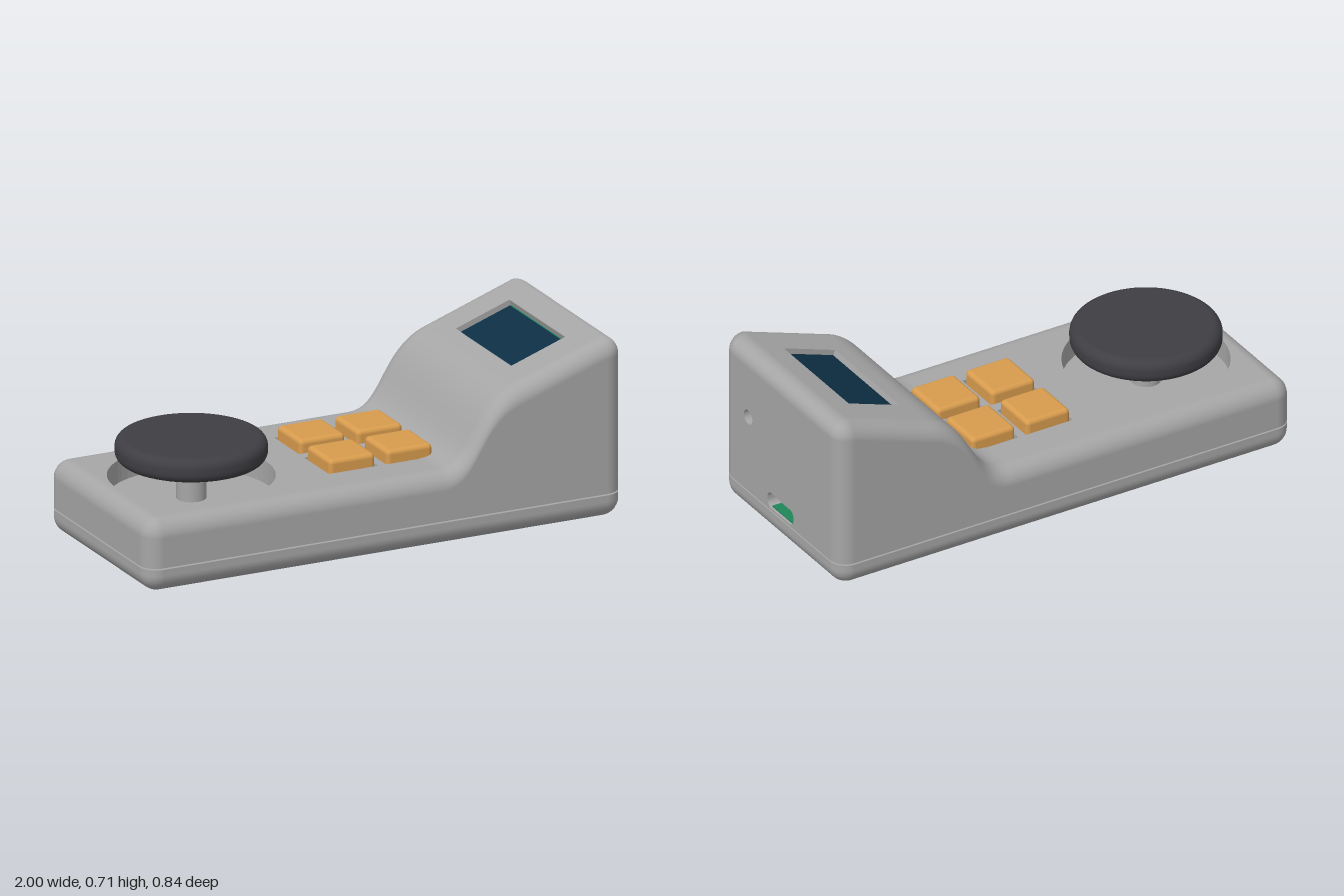
import * as THREE from 'three';
import { RoundedBoxGeometry } from 'three/addons/geometries/RoundedBoxGeometry.js';

const R = 0.07, HX = 0.93, HZ = 0.35; // edge radius and half size inside the rounding
const V = (x, y, z) => new THREE.Vector3(x, y, z);

function material(name, color, side = THREE.FrontSide) {
  const m = new THREE.MeshStandardMaterial({ color, side });
  m.name = name;
  return m;
}

// Rounded wall: an arc rolls off the profile, then drops straight to the bottom
function wallGeometry(profile, bottom, openEnd) {
  const around = [], corner = 6, arc = 8;
  const slope = profile.map((p, i) => {
    const a = profile[Math.max(i - 1, 0)], b = profile[Math.min(i + 1, profile.length - 1)];
    return (b.y - a.y) / (b.x - a.x);
  });
  const add = (i, z, angle) => around.push({
    x: profile[i].x, y: profile[i].y, z, s: slope[i], nx: Math.sin(angle), nz: Math.cos(angle), angle });
  const last = profile.length - 1;
  const fan = (i, z, from) => {
    for (let k = 0; k <= corner; k++) add(i, z, from + (k / corner) * Math.PI / 2);
  };
  for (let i = 1; i < last; i++) add(i, HZ, 0);
  fan(last, HZ, 0);
  fan(last, -HZ, Math.PI / 2);
  for (let i = last - 1; i > 0; i--) add(i, -HZ, Math.PI);
  fan(0, -HZ, Math.PI);
  fan(0, HZ, Math.PI * 1.5);

  const pos = [], nor = [], index = [], rows = arc + 2;
  for (const p of around) {
    for (let j = 0; j < rows; j++) {
      const a = Math.min(j / arc, 1) * Math.PI / 2, s = Math.sin(a), c = Math.cos(a);
      pos.push(p.x + p.nx * R * s, j > arc ? bottom : p.y - R * (1 - c), p.z + p.nz * R * s);
      nor.push(...V(p.nx * s - p.s * c, c, p.nz * s).normalize().toArray());
    }
  }
  around.forEach((p, i) => {
    const k = (i + 1) % around.length, q = around[k];
    for (let j = 0; j < rows - 1; j++) {
      if (openEnd && j === arc && p.nx > 0.999 && q.nx > 0.999) continue;
      const a = i * rows + j, d = k * rows + j;
      index.push(a, a + 1, d + 1, a, d + 1, d);
    }
  });
  const g = new THREE.BufferGeometry();
  g.setAttribute('position', new THREE.Float32BufferAttribute(pos, 3));
  g.setAttribute('normal', new THREE.Float32BufferAttribute(nor, 3));
  g.setIndex(index);
  return g;
}

// Smooth strip across the body under a run of profile points
function stripGeometry(points) {
  const g = new THREE.PlaneGeometry(1, 1, points.length - 1, 1);
  const p = g.attributes.position;
  for (let i = 0; i < p.count; i++) {
    const q = points[i % points.length];
    p.setXYZ(i, q.x, q.y, i < points.length ? -HZ : HZ);
  }
  g.computeVertexNormals();
  return g;
}

function rect(path, x0, y0, x1, y1, r = 0) {
  path.moveTo(x0 + r, y0).lineTo(x1 - r, y0);
  if (r) path.absarc(x1 - r, y0 + r, r, -Math.PI / 2, 0);
  path.lineTo(x1, y1 - r);
  if (r) path.absarc(x1 - r, y1 - r, r, 0, Math.PI / 2);
  path.lineTo(x0 + r, y1);
  if (r) path.absarc(x0 + r, y1 - r, r, Math.PI / 2, Math.PI);
  path.lineTo(x0, y0 + r);
  if (r) path.absarc(x0 + r, y0 + r, r, Math.PI, Math.PI * 1.5);
  return path;
}

// Panel drawn in u, v, with its outer face through the origin point
function panelGeometry(shape, depth, u, v, origin) {
  const n = u.clone().cross(v);
  const g = new THREE.ExtrudeGeometry(shape, { depth, bevelEnabled: false, curveSegments: 32 });
  g.translate(0, 0, -depth);
  return g.applyMatrix4(new THREE.Matrix4().makeBasis(u, v, n).setPosition(origin));
}

export function createModel() {
  const model = new THREE.Group();
  model.name = 'handheldController';
  const grey = material('caseGrey', 0xa6a6a6, THREE.DoubleSide);
  const dark = material('knobCharcoal', 0x3f3e43);
  const amber = material('keyAmber', 0xd89c4e);
  const navy = material('screenNavy', 0x0d2f45);
  const green = material('boardGreen', 0x1f8558);
  const add = (name, geometry, mat, x = 0, y = 0, z = 0, parent = model) => {
    const m = new THREE.Mesh(geometry, mat);
    m.name = name;
    m.position.set(x, y, z);
    parent.add(m);
    return m;
  };
  const X = V(1, 0, 0), back = V(0, 0, -1);

  // Side profile: flat deck, S-curve, slanted display face
  const deckY = 0.29, deckEnd = 0.24, slantStart = new THREE.Vector2(0.58, 0.587), slantEnd = new THREE.Vector2(HX, 0.71);
  const curve = new THREE.CubicBezierCurve(new THREE.Vector2(deckEnd, deckY), new THREE.Vector2(0.4, deckY),
    new THREE.Vector2(0.38, 0.53), slantStart).getPoints(24);
  const profile = [new THREE.Vector2(-HX, deckY), ...curve, slantEnd];

  // Lower case
  const base = new THREE.Group();
  base.name = 'lowerCase';
  model.add(base);
  const flat = [new THREE.Vector2(-HX, 0), new THREE.Vector2(HX, 0)];
  add('lowerWall', wallGeometry(flat, -0.096, false).rotateX(Math.PI), grey, 0, 0, 0, base);
  add('underside', new THREE.PlaneGeometry(HX * 2, HZ * 2).rotateX(Math.PI / 2), grey, 0, 0, 0, base);
  add('innerFloor', panelGeometry(rect(new THREE.Shape(), -1, -0.42, 1, 0.42, R), 0.004, X, back, V(0, 0.096, 0)), grey, 0, 0, 0, base);
  add('circuitBoard', new THREE.BoxGeometry(1.05, 0.01, 0.58), green, 0.42, 0.101, 0);

  // Upper case
  const upper = new THREE.Group();
  upper.name = 'upperCase';
  model.add(upper);
  add('upperWall', wallGeometry(profile, 0.102, true), grey, 0, 0, 0, upper);
  add('curvedRise', stripGeometry(curve), grey, 0, 0, 0, upper);

  // Deck with the knob well and key openings
  const knobX = -0.607, keyX = [-0.04, 0.2], keyZ = [-0.128, 0.122];
  const deck = rect(new THREE.Shape(), -HX, -HZ, deckEnd, HZ);
  deck.holes.push(new THREE.Path().absarc(knobX, 0, 0.317, 0, Math.PI * 2, true));
  const keyCut = 0.103;
  for (const z of keyZ) {
    deck.holes.push(rect(new THREE.Path(), keyX[0] - keyCut, -z - keyCut, keyX[0] + keyCut, -z + keyCut));
  }
  // The right-hand keys cross the deck edge, so their openings stop just inside it
  for (const z of keyZ) {
    deck.holes.push(rect(new THREE.Path(), keyX[1] - keyCut, -z - keyCut, deckEnd - 0.002, -z + keyCut));
  }
  add('deck', panelGeometry(deck, 0.09, X, back, V(0, deckY, 0)), grey, 0, 0, 0, upper);
  add('wellFloor', new THREE.PlaneGeometry(1.2, 0.7).rotateX(-Math.PI / 2), grey, -0.34, 0.2, 0, upper);

  // Slanted display face with a recessed screen
  const dir = slantEnd.clone().sub(slantStart), length = dir.length();
  dir.normalize();
  const slope = V(dir.x, dir.y, 0), origin = V(slantStart.x, slantStart.y, 0);
  const u0 = 0.04 / dir.x, u1 = 0.265 / dir.x;
  const face = rect(new THREE.Shape(), 0, -HZ, length, HZ);
  face.holes.push(rect(new THREE.Path(), u0, -0.23, u1, 0.235));
  add('displayFace', panelGeometry(face, 0.03, slope, back, origin), grey, 0, 0, 0, upper);
  const plate = (inset, depth) => panelGeometry(
    rect(new THREE.Shape(), u0 + inset, -0.23 + inset, u1 - inset, 0.235 - inset),
    0.006, slope, back, origin.clone().addScaledVector(V(-dir.y, dir.x, 0), -depth));
  add('screenBoard', plate(-0.005, 0.024), green);
  add('screen', plate(0.008, 0.018), navy);

  // End wall with a cable port and a round socket
  const end = rect(new THREE.Shape(), -HZ, 0.102, HZ, slantEnd.y - R);
  end.holes.push(rect(new THREE.Path(), -0.095, 0.11, 0.092, 0.178, 0.03));
  end.holes.push(new THREE.Path().absarc(-0.233, 0.425, 0.03, 0, Math.PI * 2, true));
  add('endWall', panelGeometry(end, 0.05, back, V(0, 1, 0), V(1, 0, 0)), grey, 0, 0, 0, upper);
  add('portBack', new THREE.BoxGeometry(0.01, 0.08, 0.21), grey, 0.944, 0.147, 0, upper);
  add('socketBack', new THREE.BoxGeometry(0.01, 0.08, 0.08), grey, 0.944, 0.425, 0.233, upper);
  add('portBoard', new THREE.BoxGeometry(0.04, 0.005, 0.15), green, 0.97, 0.1135, 0);

  // Knob on its stem
  const knob = new THREE.Group();
  knob.name = 'knob';
  knob.position.set(knobX, 0, 0);
  model.add(knob);
  const outline = [new THREE.Vector2(0, 0.35)];
  for (const [y, from] of [[0.388, -Math.PI / 2], [0.407, 0]]) {
    for (let k = 0; k <= 6; k++) {
      const a = from + (k / 6) * Math.PI / 2;
      outline.push(new THREE.Vector2(0.25 + 0.038 * Math.cos(a), y + 0.038 * Math.sin(a)));
    }
  }
  outline.push(new THREE.Vector2(0, 0.445));
  add('knobCap', new THREE.LatheGeometry(outline, 64), dark, 0, 0, 0, knob);
  add('knobStem', new THREE.CylinderGeometry(0.057, 0.057, 0.16, 32), grey, 0, 0.28, 0, knob);

  // Four keys
  for (const x of keyX) {
    for (const z of keyZ) add('key', new RoundedBoxGeometry(0.192, 0.14, 0.198, 3, 0.018), amber, x, 0.27, z);
  }
  return model;
}
